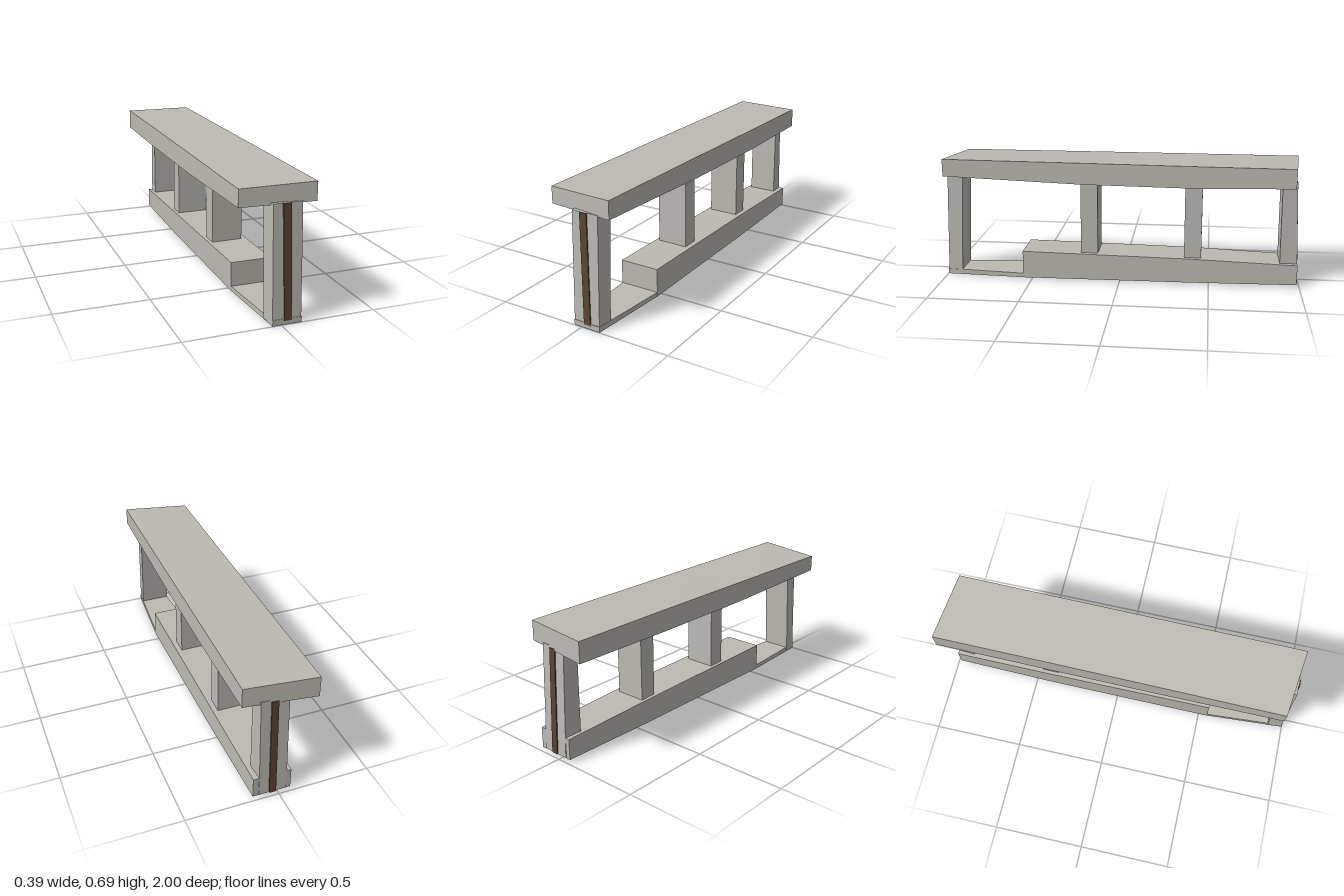
import * as THREE from 'three';

const stone = new THREE.MeshStandardMaterial({ color: 0xbdbab3 });
stone.name = 'pale stone';
const brown = new THREE.MeshStandardMaterial({ color: 0x5b4435 });
brown.name = 'dark brown';

// Loft through four-cornered sections, ordered front to back.
// Corners of each section: bottom left, bottom right, top right, top left in the front view.
function loft(name, material, sections) {
  const pos = [];
  const quad = (a, b, c, d) => pos.push(...a, ...b, ...c, ...a, ...c, ...d);
  quad(...sections[0]);
  for (let s = 0; s < sections.length - 1; s++) {
    const a = sections[s], b = sections[s + 1];
    for (let i = 0; i < 4; i++) {
      const j = (i + 1) % 4;
      quad(a[i], b[i], b[j], a[j]);
    }
  }
  const [p, q, r, t] = sections[sections.length - 1];
  quad(t, r, q, p);
  const geo = new THREE.BufferGeometry();
  geo.setAttribute('position', new THREE.Float32BufferAttribute(pos, 3));
  geo.computeVertexNormals();
  const mesh = new THREE.Mesh(geo, material);
  mesh.name = name;
  return mesh;
}

// Upright section: x range, y range, z at the bottom and at the top
const upright = (x0, x1, y0, y1, zb, zt = zb) =>
  [[x0, y0, zb], [x1, y0, zb], [x1, y1, zt], [x0, y1, zt]];

// Section skewed in plan, with its own z and heights on each side
const skewed = (x0, z0, x1, z1, b0, b1, t0, t1) =>
  [[x0, b0, z0], [x1, b1, z1], [x1, t1, z1], [x0, t0, z0]];

function box(name, material, w, h, d, x, y, z) {
  const mesh = new THREE.Mesh(new THREE.BoxGeometry(w, h, d), material);
  mesh.name = name;
  mesh.position.set(x, y, z);
  return mesh;
}

export function createModel() {
  const model = new THREE.Group();
  model.name = 'longBench';

  // Top slab, slightly skewed with a bowed underside
  model.add(loft('topSlab', stone, [
    skewed(-0.2, 0.93, 0.175, 0.98, 0.585, 0.594, 0.675, 0.69),
    skewed(-0.193, 0.2, 0.183, 0.2, 0.563, 0.568, 0.677, 0.687),
    skewed(-0.188, -0.4, 0.189, -0.4, 0.56, 0.563, 0.678, 0.684),
    skewed(-0.185, -0.99, 0.195, -0.95, 0.565, 0.575, 0.678, 0.682),
  ]));

  // Base: low front tongue and the raised beam behind it
  model.add(loft('baseTongue', stone, [
    upright(-0.045, 0.107, 0.0, 0.03, 0.998),
    upright(-0.078, 0.145, 0.006, 0.03, 0.54),
  ]));
  model.add(loft('baseBeam', stone, [
    upright(-0.078, 0.145, 0.006, 0.162, 0.55),
    upright(-0.077, 0.143, 0.01, 0.148, -0.4),
    upright(-0.068, 0.137, 0.015, 0.128, -0.985),
  ]));

  // End posts, leaning a little
  model.add(loft('frontPost', stone, [
    upright(-0.045, 0.105, 0.002, 0.6, 0.996, 0.974),
    upright(-0.055, 0.113, 0.01, 0.6, 0.915, 0.885),
  ]));
  model.add(loft('backPost', stone, [
    upright(-0.05, 0.112, 0.05, 0.59, -0.89, -0.885),
    upright(-0.043, 0.105, 0.02, 0.59, -0.99, -0.965),
  ]));

  // Inner posts
  for (const z of [0.172, -0.408]) {
    model.add(box('innerPost', stone, 0.172, 0.43, 0.095, 0.029, 0.36, z));
  }

  // Inlaid strips on both ends
  model.add(loft('frontStrip', brown, [
    upright(0.015, 0.055, 0.02, 0.6, 1.0, 0.981),
    upright(0.015, 0.055, 0.02, 0.6, 0.994, 0.974),
  ]));
  model.getObjectByName('frontStrip').geometry.applyMatrix4(
    new THREE.Matrix4().set(1, -0.02, 0, 0, 0, 1, 0, 0, 0, 0, 1, 0, 0, 0, 0, 1));
  model.add(loft('backStrip', brown, [
    upright(0.015, 0.052, 0.02, 0.58, -0.985, -0.964),
    upright(0.015, 0.052, 0.02, 0.58, -0.996, -0.971),
  ]));

  // Small stud under the slab
  const stud = new THREE.Mesh(new THREE.CylinderGeometry(0.012, 0.016, 0.035, 8), brown);
  stud.name = 'slabStud';
  stud.position.set(-0.117, 0.574, 0.73);
  model.add(stud);

  // Little hooks on the right faces of the inner posts
  for (const z of [0.172, -0.408]) {
    const hook = new THREE.Group();
    hook.name = 'postHook';
    hook.add(box('hookArm', brown, 0.034, 0.026, 0.025, -0.071, 0.52, z));
    hook.add(box('hookTip', brown, 0.013, 0.038, 0.025, -0.084, 0.526, z));
    model.add(hook);
  }
  return model;
}
